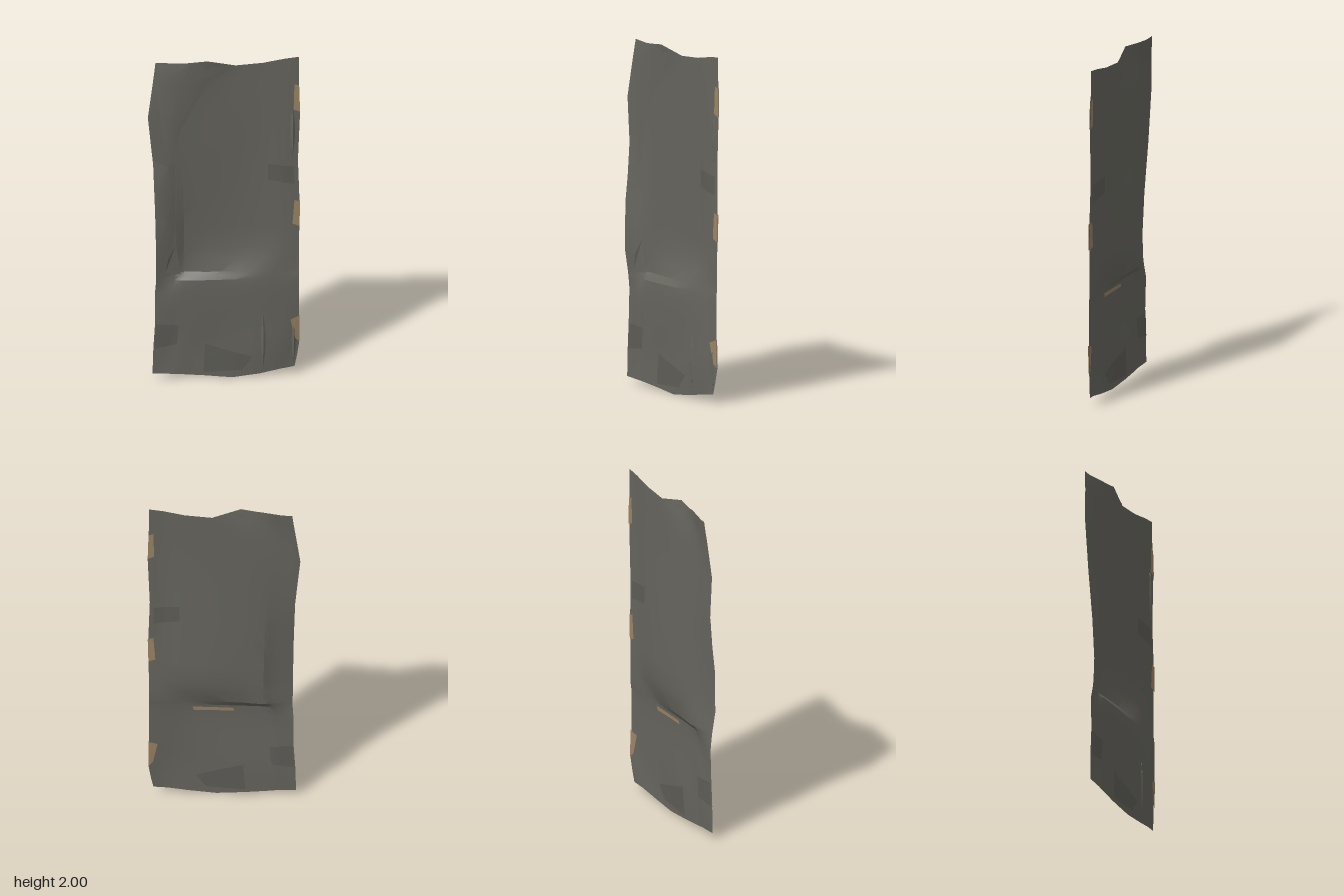
import * as THREE from 'three';
import { toCreasedNormals } from 'three/addons/utils/BufferGeometryUtils.js';

// Height stations of the crumpled sheet with its left and right edges
const ROWS = [0.03, 0.2, 0.36, 0.55, 0.62, 0.66, 0.8, 1.05, 1.35, 1.65, 1.87, 1.98];
const EDGE_L = [-0.41, -0.405, -0.395, -0.395, -0.39, -0.39, -0.39, -0.395, -0.405, -0.435, -0.405, -0.39];
const EDGE_R = [0.4, 0.427, 0.425, 0.425, 0.425, 0.425, 0.425, 0.43, 0.42, 0.432, 0.425, 0.425];
// Stations across the width, with the depth of the sheet at each
const COLS = [0, 0.13, 0.2, 0.36, 0.56, 0.75, 0.9, 1];
const DEPTH = [
  [0.015, 0.015, 0.012, 0.01, 0.015, 0.01, 0, -0.01],
  [0.015, 0.005, 0.01, 0.005, 0.012, 0.015, 0.005, -0.02],
  [0.015, 0.01, 0.012, 0.012, 0.012, 0.012, 0, -0.015],
  [0.01, 0.015, 0.015, 0.015, 0.015, 0.01, -0.005, -0.015],
  [0.02, 0, 0.01, 0.012, 0.01, 0.005, -0.01, -0.015],
  [0.025, -0.01, -0.025, -0.015, -0.01, 0, -0.015, -0.02],
  [0.03, 0, -0.03, -0.04, -0.045, -0.035, -0.02, -0.02],
  [0.02, 0, -0.025, -0.04, -0.045, -0.035, -0.02, -0.02],
  [0, -0.01, -0.02, -0.03, -0.038, -0.035, -0.02, -0.025],
  [-0.005, -0.01, -0.015, -0.025, -0.03, -0.03, -0.022, -0.025],
  [-0.02, -0.01, -0.01, -0.02, -0.03, -0.03, -0.025, -0.028],
  [-0.03, -0.025, -0.01, 0, -0.03, -0.03, -0.028, -0.028],
];
// Vertical shift of the ragged bottom and top edges at each width station
const BOTTOM = [0.01, 0.005, 0, -0.012, -0.027, -0.01, 0.012, 0.022];
const TOP = [0.005, 0, 0.005, 0.02, -0.025, -0.013, 0.01, 0.02];

// Piecewise linear lookup
function lookup(keys, values, k) {
  let i = 0;
  while (i < keys.length - 2 && k > keys[i + 1]) i++;
  const t = THREE.MathUtils.clamp((k - keys[i]) / (keys[i + 1] - keys[i]), 0, 1);
  return values[i] + (values[i + 1] - values[i]) * t;
}

function depthAt(s, y) {
  return lookup(ROWS, DEPTH.map((row) => lookup(COLS, row, s)), y);
}

function depthAtX(x, y) {
  const l = lookup(ROWS, EDGE_L, y);
  return depthAt((x - l) / (lookup(ROWS, EDGE_R, y) - l), y);
}

// Split every interval of a station list into n steps
function refine(keys, n) {
  const out = [];
  for (let i = 0; i < keys.length - 1; i++)
    for (let k = 0; k < n; k++) out.push(keys[i] + ((keys[i + 1] - keys[i]) * k) / n);
  return [...out, keys[keys.length - 1]];
}

// Grid surface through rows of points, listed left to right and bottom to top
function gridGeometry(rows) {
  const w = rows[0].length, index = [];
  for (let j = 0; j < rows.length - 1; j++)
    for (let i = 0; i < w - 1; i++) {
      const a = j * w + i, b = a + w;
      index.push(a, a + 1, b + 1, a, b + 1, b);
    }
  const geo = new THREE.BufferGeometry();
  geo.setAttribute('position', new THREE.Float32BufferAttribute(rows.flat(2), 3));
  geo.setIndex(index);
  return toCreasedNormals(geo, 0.3);
}

export function createModel() {
  const model = new THREE.Group();
  const material = (name, color) =>
    new THREE.MeshStandardMaterial({ name, color, side: THREE.DoubleSide });
  const slate = material('slate grey', 0x65645d);
  const darkSlate = material('dark slate grey', 0x5d5c56);
  const tan = material('worn tan', 0x9a8364);

  function add(name, geo, mat) {
    const mesh = new THREE.Mesh(geo, mat);
    mesh.name = name;
    model.add(mesh);
  }

  // Main crumpled panel
  const ys = refine(ROWS, 2), ss = refine(COLS, 2);
  add('panel', gridGeometry(ys.map((y, j) => ss.map((s) => {
    const l = lookup(ROWS, EDGE_L, y), r = lookup(ROWS, EDGE_R, y);
    const shift = j === 0 ? lookup(COLS, BOTTOM, s) : j === ys.length - 1 ? lookup(COLS, TOP, s) : 0;
    return [l + (r - l) * s, y + shift, depthAt(s, y)];
  }))), slate);

  // Side fold lapping over the left of the panel
  add('sideFold', gridGeometry([
    [[-0.39, 0.64, 0.022], [-0.34, 0.67, 0.02], [-0.25, 0.66, 0.005]],
    [[-0.39, 0.78, 0.045], [-0.32, 0.76, 0.025], [-0.275, 0.85, 0.005]],
    [[-0.395, 1.05, 0.038], [-0.33, 1.0, 0.028], [-0.28, 1.05, 0]],
    [[-0.398, 1.2, 0.02], [-0.35, 1.22, 0.015], [-0.28, 1.25, -0.003]],
    [[-0.405, 1.38, 0.003], [-0.32, 1.34, 0.01], [-0.28, 1.36, 0]],
  ]), slate);

  // Upper corner fold, tapering down along the left edge
  add('cornerFold', gridGeometry([
    [[-0.32, 1.34, 0.004], [-0.31, 1.345, 0.004], [-0.3, 1.35, 0.002]],
    [[-0.36, 1.6, 0.002], [-0.3, 1.58, 0.006], [-0.245, 1.58, -0.006]],
    [[-0.38, 1.86, -0.01], [-0.24, 1.86, 0.002], [-0.08, 1.88, -0.015]],
    [[-0.385, 1.975, -0.027], [-0.2, 1.98, 0.005], [0.05, 1.955, -0.022]],
  ]), slate);

  // Narrow pleats near the right edge
  const pleat = (name, x, y0, y1, width, lift) => {
    const strip = [0, 0.25, 0.5, 0.75, 1].map((t) => {
      const y = y0 + (y1 - y0) * t, bulge = Math.sin(Math.PI * t);
      return [-1, 0, 1].map((k) => [
        x + k * width * bulge, y,
        depthAtX(x + k * width * bulge, y) + (k === 0 ? lift * bulge : 0.001)]);
    });
    add(name, gridGeometry(strip), slate);
  };
  pleat('lowerPleat', 0.22, 0.06, 0.4, 0.014, 0.008);
  pleat('upperPleat', 0.39, 1.38, 1.7, 0.014, 0.01);
  pleat('edgePleat', 0.395, 0.07, 0.36, 0.012, 0.008);

  // Thin patch laid on the panel; corners run anticlockwise from bottom left
  function patch(name, mat, [a, b, c, d], sides = [1, -1]) {
    const mix = THREE.MathUtils.lerp;
    const steps = Array.from({ length: 9 }, (_, i) => i / 8);
    for (const side of sides)
      add(name, gridGeometry(steps.map((v) => steps.map((u) => {
        const x = mix(mix(a[0], b[0], u), mix(d[0], c[0], u), v);
        const y = mix(mix(a[1], b[1], u), mix(d[1], c[1], u), v);
        return [x, y, depthAtX(x, y) + side * 0.004];
      }))), mat);
  }

  // Worn hinge marks down the right edge
  patch('upperHingeMark', tan, [[0.395, 1.67], [0.432, 1.655], [0.427, 1.82], [0.4, 1.83]]);
  patch('middleHingeMark', tan, [[0.388, 0.95], [0.428, 0.935], [0.432, 1.09], [0.4, 1.1]]);
  patch('lowerHingeMark', tan, [[0.402, 0.23], [0.427, 0.205], [0.427, 0.37], [0.376, 0.35]]);
  // Worn crease on the back
  patch('backCreaseMark', tan, [[-0.06, 0.585], [0.17, 0.585], [0.18, 0.61], [-0.05, 0.605]], [-1]);
  // Faded areas
  patch('lowerStain', darkSlate, [[-0.12, 0.04], [0.1, 0.05], [0.16, 0.13], [-0.11, 0.215]]);
  patch('sideStain', darkSlate, [[0.25, 1.23], [0.4, 1.2], [0.4, 1.31], [0.25, 1.33]]);
  patch('cornerStain', darkSlate, [[-0.4, 0.2], [-0.27, 0.22], [-0.26, 0.34], [-0.39, 0.35]]);

  return model;
}
